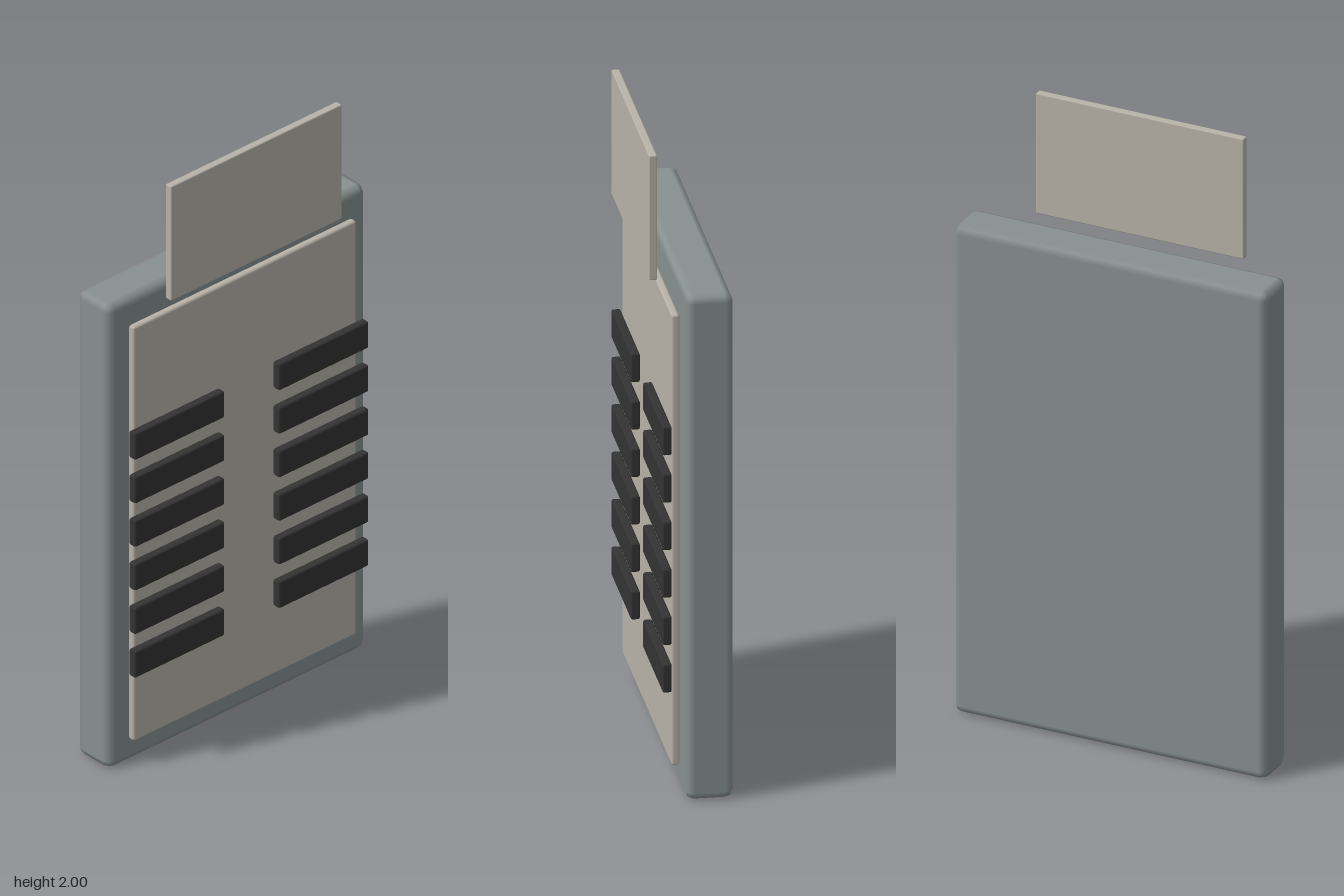
import * as THREE from 'three';
import { RoundedBoxGeometry } from 'three/addons/geometries/RoundedBoxGeometry.js';

const material = (name, color) => {
  const m = new THREE.MeshStandardMaterial({ color });
  m.name = name;
  return m;
};

export function createModel() {
  const group = new THREE.Group();
  group.name = 'ventedCabinet';
  const grey = material('blue grey', 0x879190);
  const beige = material('warm beige', 0xb8b3a9);
  const black = material('charcoal', 0x333333);

  // Softly bevelled box given by its limits on each axis
  const box = (name, mat, [x0, x1], [y0, y1], [z0, z1], bevel) => {
    const geometry = new RoundedBoxGeometry(x1 - x0, y1 - y0, z1 - z0, 1, bevel);
    const mesh = new THREE.Mesh(geometry, mat);
    mesh.name = name;
    mesh.position.set((x0 + x1) / 2, (y0 + y1) / 2, (z0 + z1) / 2);
    group.add(mesh);
  };

  // Main slab and the thin panel floating off its right side
  box('body', grey, [-0.114, 0.028], [0, 1.613], [-0.517, 0.517], 0.026);
  box('sidePanel', beige, [0.037, 0.062], [0.09, 1.53], [-0.447, 0.447], 0.008);

  // Upper plate
  box('upperPlate', beige, [0.087, 0.112], [1.602, 2], [-0.343, 0.343], 0.004);

  // Two columns of six vent bars
  for (let i = 0; i < 6; i++) {
    const y = 0.333 + i * 0.1516;
    box('frontVent' + (i + 1), black, [0.064, 0.092], [y, y + 0.092], [0.109, 0.469], 0.006);
    box('rearVent' + (i + 1), black, [0.064, 0.092], [y, y + 0.092], [-0.469, -0.109], 0.006);
  }
  return group;
}
